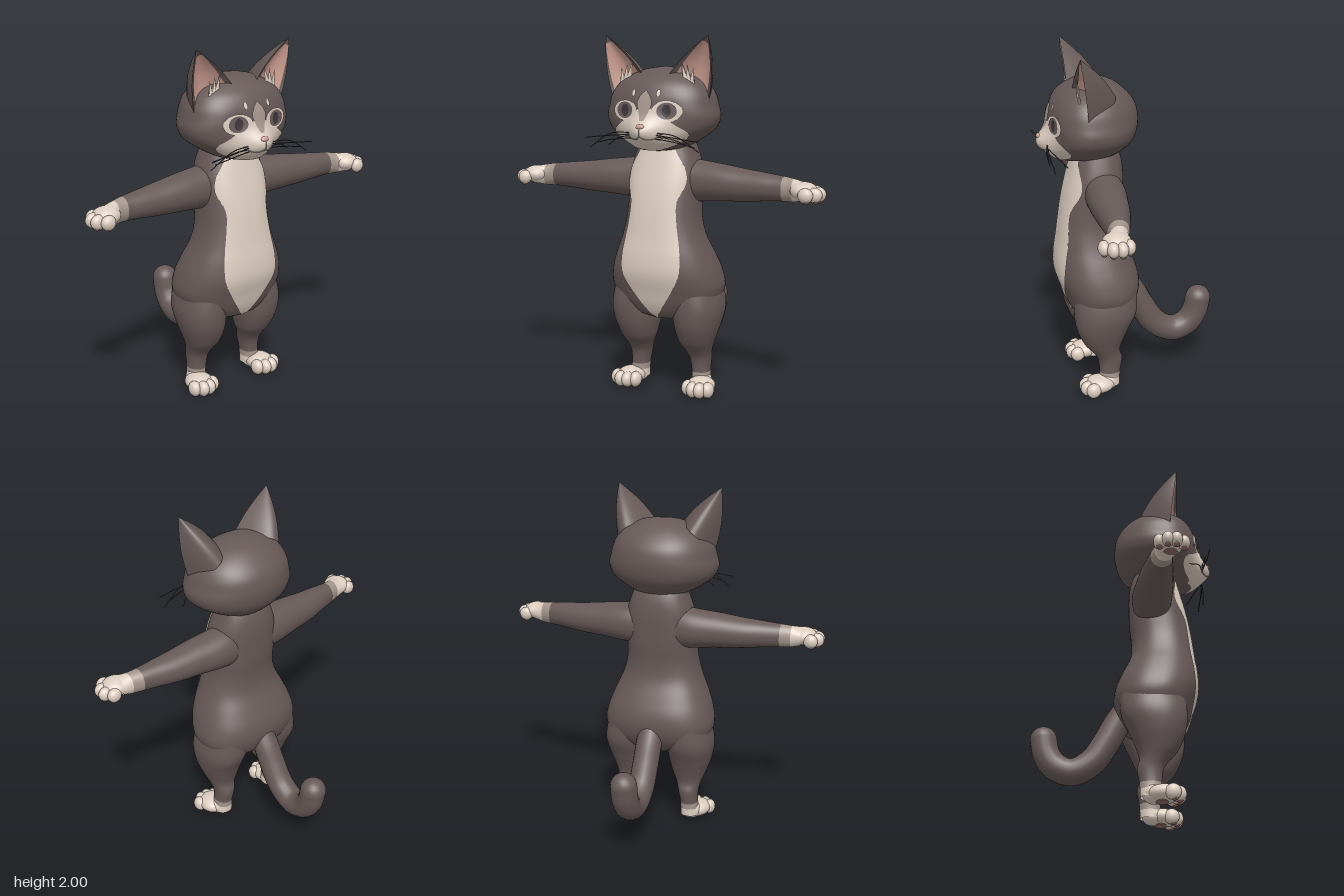
import * as THREE from 'three';
import { mergeVertices } from 'three/addons/utils/BufferGeometryUtils.js';

const paint = (name, color, side = THREE.FrontSide) =>
  Object.assign(new THREE.MeshStandardMaterial({ color, side }), { name });

// Surface from a rule fn(u, v) -> [x, y, z]
function grid(fn, nu, nv) {
  const pos = [], idx = [], w = nu + 1;
  for (let j = 0; j <= nv; j++) for (let i = 0; i <= nu; i++) pos.push(...fn(i / nu, j / nv));
  for (let j = 0; j < nv; j++) for (let i = 0; i < nu; i++) {
    const a = j * w + i;
    idx.push(a, a + 1, a + w + 1, a, a + w + 1, a + w);
  }
  let g = new THREE.BufferGeometry();
  g.setAttribute('position', new THREE.Float32BufferAttribute(pos, 3));
  g.setIndex(idx);
  g = mergeVertices(g, 1e-5);
  g.computeVertexNormals();
  return g;
}

// Smooth interpolation of a table sorted by its first column
function sample(rows, y) {
  let i = 0;
  while (i < rows.length - 2 && y > rows[i + 1][0]) i++;
  const a = rows[i], b = rows[i + 1], p = rows[i - 1] || a, q = rows[i + 2] || b;
  const h = b[0] - a[0], t = (y - a[0]) / h, t2 = t * t, t3 = t2 * t;
  return a.map((v, k) => {
    const m0 = (b[k] - p[k]) / (b[0] - p[0]), m1 = (q[k] - v) / (q[0] - a[0]);
    return (2 * t3 - 3 * t2 + 1) * v + (t3 - 2 * t2 + t) * h * m0
      + (3 * t2 - 2 * t3) * b[k] + (t3 - t2) * h * m1;
  });
}

// Body column; rows: [y, centre x, half width, back z, front z, widest z]
const noBump = () => 0;
function column({ rows, n = 2, bump = noBump }, y0 = rows[0][0], y1 = rows.at(-1)[0], rings = 44) {
  return grid((u, v) => {
    const [y, cx, hw, zb, zf, zc = (zb + zf) / 2] = sample(rows, y0 + (y1 - y0) * v);
    const a = (u * 2 - 1) * Math.PI, s = Math.sin(a), c = Math.cos(a), e = 2 / n;
    const x = cx + hw * Math.sign(s) * Math.abs(s) ** e;
    const z = zc + (c > 0 ? zf - zc : zb - zc) * Math.abs(c) ** e;
    return [x, y, z + (c > 0 ? bump(x, y) : 0)];
  }, 56, rings);
}

// Height of a column's front surface, lifted slightly
function front({ rows, n = 2, bump = noBump }, x, y, lift) {
  const [, cx, hw, zb, zf, zc = (zb + zf) / 2] = sample(rows, y);
  const s = Math.min(1, Math.abs(x - cx) / (hw + lift));
  return zc + (zf + lift - zc) * (1 - s ** n) ** (1 / n) + bump(x, y);
}

// Thin markings on a column: symmetric band from [y, half width] rows, and disc
const band = (col, rows, lift) => grid((u, v) => {
  const [y, w] = sample(rows, rows[0][0] + (rows.at(-1)[0] - rows[0][0]) * v);
  const x = Math.max(0, w) * (u * 2 - 1);
  return [x, y, front(col, x, y, lift)];
}, 28, 40);
const disc = (col, cx, cy, rx, ry, lift) => grid((u, v) => {
  const a = -2 * Math.PI * u, x = cx + rx * v * Math.cos(a), y = cy + ry * v * Math.sin(a);
  return [x, y, front(col, x, y, lift)];
}, 28, 8);

const ball = (x, y, z, rx, ry, rz) => new THREE.SphereGeometry(1, 20, 14).scale(rx, ry, rz).translate(x, y, z);
const tube = (pts, r, seg = 14, sides = 6) => new THREE.TubeGeometry(
  new THREE.CatmullRomCurve3(pts.map(p => new THREE.Vector3(...p))), seg, r, sides);

function flip(geo) {
  const g = geo.clone().scale(-1, 1, 1), ix = g.index.array;
  for (let i = 0; i < ix.length; i += 3) [ix[i], ix[i + 1]] = [ix[i + 1], ix[i]];
  return g;
}

export function createModel() {
  const root = new THREE.Group();
  root.name = 'cat';
  const coat = paint('coat', 0x675a58, THREE.DoubleSide), cream = paint('cream', 0xdccdc0, THREE.DoubleSide);
  const muted = paint('mutedFur', 0xa3958c, THREE.DoubleSide), pink = paint('pink', 0xd0a195, THREE.DoubleSide);
  const iris = paint('iris', 0x6a5d5f, THREE.DoubleSide), dark = paint('dark', 0x40373a, THREE.DoubleSide);
  const pad = paint('pad', 0x8c6a63);

  const add = (name, geo, mat) => {
    const m = new THREE.Mesh(geo, mat);
    m.name = name;
    root.add(m);
  };
  const pair = (name, geo, mat) => {
    add(name + 'Left', geo, mat);
    add(name + 'Right', flip(geo), mat);
  };

  // Torso and belly
  const torso = { n: 2.4, rows: [
    [0.41, 0, 0, 0.19, 0.19], [0.44, 0, 0.12, 0.1, 0.31], [0.5, 0, 0.26, 0.01, 0.36], [0.6, 0, 0.325, -0.04, 0.395],
    [0.7, 0, 0.315, -0.04, 0.425], [0.8, 0, 0.28, 0, 0.425], [0.9, 0, 0.237, 0.045, 0.412],
    [1, 0, 0.211, 0.055, 0.4], [1.1, 0, 0.205, 0.045, 0.385], [1.2, 0, 0.205, 0.04, 0.365],
    [1.3, 0, 0.195, 0.04, 0.34], [1.38, 0, 0.17, 0.05, 0.32], [1.46, 0, 0.14, 0.08, 0.3]] };
  add('torso', column(torso), coat);
  add('belly', band(torso, [[0.44, 0.005], [0.5, 0.05], [0.6, 0.12], [0.7, 0.175], [0.8, 0.18], [0.9, 0.165],
    [1, 0.148], [1.1, 0.142], [1.2, 0.178], [1.28, 0.168], [1.38, 0.11], [1.43, 0.1]], 0.007), cream);

  // Legs
  const leg = { n: 2.2, rows: [
    [0.04, 0.2, 0.055, 0.1, 0.22], [0.12, 0.195, 0.051, 0.095, 0.215], [0.2, 0.19, 0.06, 0.082, 0.225],
    [0.25, 0.187, 0.075, 0.095, 0.255], [0.3, 0.184, 0.097, 0.085, 0.3], [0.4, 0.19, 0.125, 0.045, 0.345],
    [0.5, 0.192, 0.138, 0, 0.358], [0.62, 0.17, 0.14, -0.01, 0.35]] };
  pair('leg', column(leg, 0.12, 0.62), coat);
  pair('ankleCuff', column(leg, 0.085, 0.12, 4), muted);
  pair('ankle', column(leg, 0.04, 0.085, 4), cream);

  // Feet with toes and pads
  pair('heel', ball(0.205, 0.06, 0.17, 0.06, 0.055, 0.062), cream);
  pair('foot', ball(0.225, 0.055, 0.225, 0.08, 0.05, 0.09), cream);
  [[0.168, 0.275], [0.208, 0.298], [0.252, 0.298], [0.29, 0.27]].forEach(([x, z], i) => {
    pair('toe' + i, ball(x, 0.047, z, 0.034, 0.044, 0.043), cream);
    pair('toePad' + i, ball(x, 0.012, z + 0.005, 0.018, 0.012, 0.02), pad);
  });
  pair('solePad', ball(0.225, 0.01, 0.215, 0.045, 0.01, 0.035), pad);

  // Arms, lofted upright and laid along x
  const arm = { n: 2.1, rows: [
    [0.08, -1.21, 0.13, 0.07, 0.28], [0.2, -1.207, 0.115, 0.06, 0.285], [0.35, -1.205, 0.1, 0.08, 0.29],
    [0.5, -1.2, 0.086, 0.105, 0.285], [0.6, -1.2, 0.076, 0.13, 0.282], [0.71, -1.198, 0.066, 0.16, 0.277],
    [0.77, -1.195, 0.061, 0.18, 0.285], [0.83, -1.195, 0.05, 0.185, 0.33]] };
  const lay = (a, b, r) => column(arm, a, b, r).rotateZ(-Math.PI / 2);
  pair('arm', lay(0.08, 0.71, 36), coat);
  pair('wristCuff', lay(0.71, 0.77, 4), muted);
  pair('wrist', lay(0.77, 0.83, 4), cream);

  // Hands with fingers and pads
  pair('palm', ball(0.835, 1.198, 0.258, 0.075, 0.05, 0.075), cream);
  [[0.882, 0.202], [0.91, 0.245], [0.905, 0.29], [0.868, 0.33]].forEach(([x, z], i) => {
    pair('finger' + i, ball(x, 1.184, z, 0.041, 0.04, 0.031), cream);
    pair('fingerPad' + i, ball(x + 0.005, 1.15, z, 0.02, 0.011, 0.016), pad);
  });
  pair('palmPad', ball(0.835, 1.152, 0.26, 0.035, 0.011, 0.035), pad);

  // Tail
  add('tail', tube([[0, 0.62, 0.04], [0, 0.53, -0.025], [0, 0.42, -0.085], [0, 0.305, -0.165], [0, 0.249, -0.275],
    [0, 0.28, -0.365], [0, 0.35, -0.415], [0, 0.435, -0.434]], 0.076, 48, 20), coat);
  add('tailTip', ball(0, 0.435, -0.434, 0.076, 0.076, 0.076), coat);

  // Head with a raised muzzle and shallow eye sockets
  const bump = (x, y) => 0.075 * Math.exp(-((x / 0.095) ** 2) - ((y - 1.485) / 0.075) ** 2)
    - 0.012 * Math.exp(-(((Math.abs(x) - 0.12) / 0.05) ** 2) - ((y - 1.6) / 0.05) ** 2);
  const head = { n: 2.15, bump, rows: [
    [1.37, 0, 0, 0.25, 0.25, 0.25], [1.385, 0, 0.1, 0.13, 0.385, 0.25], [1.41, 0, 0.165, 0.07, 0.42, 0.25],
    [1.45, 0, 0.235, 0.02, 0.435, 0.25], [1.5, 0, 0.298, -0.02, 0.442, 0.25], [1.56, 0, 0.322, -0.04, 0.448, 0.25],
    [1.62, 0, 0.31, -0.045, 0.452, 0.25], [1.69, 0, 0.288, -0.03, 0.435, 0.25], [1.75, 0, 0.243, 0.015, 0.4, 0.24],
    [1.8, 0, 0.16, 0.08, 0.335, 0.22], [1.822, 0, 0.09, 0.14, 0.28, 0.21], [1.832, 0, 0, 0.21, 0.21, 0.21]] };
  add('head', column(head, 1.37, 1.832, 64), coat);

  // Face markings
  add('faceMask', band(head, [[1.386, 0.06], [1.42, 0.155], [1.46, 0.215], [1.49, 0.22], [1.52, 0.18],
    [1.56, 0.12], [1.6, 0.05], [1.63, 0.03]], 0.006), cream);
  add('blaze', band(head, [[1.55, 0.012], [1.6, 0.032], [1.64, 0.045], [1.68, 0.03], [1.71, 0.003]], 0.009), muted);
  pair('eyePatch', disc(head, 0.125, 1.6, 0.083, 0.056, 0.007), cream);
  pair('eye', disc(head, 0.127, 1.602, 0.054, 0.044, 0.011), iris);
  pair('pupil', disc(head, 0.125, 1.602, 0.024, 0.033, 0.014), dark);
  pair('brow', disc(head, 0.075, 1.695, 0.012, 0.02, 0.008), cream);

  // Nose, mouth and whiskers
  add('nose', ball(0, 1.518, 0.505, 0.026, 0.015, 0.015), pink);
  const onFace = (x, y) => [x, y, front(head, x, y, 0.007)];
  add('lipCleft', tube([onFace(0, 1.505), onFace(0, 1.485), onFace(0, 1.465)], 0.003), muted);
  pair('mouth', tube([onFace(0, 1.465), onFace(0.03, 1.45), onFace(0.06, 1.452), onFace(0.085, 1.465)], 0.003), muted);
  [[0.33, 1.395, 0.47], [0.34, 1.45, 0.5], [0.26, 1.405, 0.39], [0.3, 1.42, 0.47]].forEach(([x, y, z], i) => {
    const sy = 1.485 - 0.01 * i;
    pair('whisker' + i, tube([[0.07, sy, 0.47], [x * 0.6, sy - 0.01, 0.47 + (z - 0.44) * 0.4], [x, y, z]], 0.0028, 10, 5), dark);
  });

  // Ears: outer shell, hollow and pink lining
  const A = [0.293, 1.64, 0.28], B = [0.085, 1.795, 0.33], tip = [0.312, 2, 0.325];
  const ear = (ctrl, s, t, puff) => A.map((a, k) => {
    const base = (1 - s) ** 2 * a + 2 * s * (1 - s) * ctrl[k] + s * s * B[k];
    const out = [0.5 - s, 0, -s * (1 - s) * 2][k] * puff * Math.sin(Math.PI * t);
    return base + (tip[k] - base) * t + out;
  });
  const back = [0.21, 1.82, -0.07], hollow = [0.2, 1.76, 0.17];
  pair('earShell', grid((u, v) => ear(back, u, v, 0.04), 20, 16), coat);
  pair('earHollow', grid((u, v) => ear(hollow, 1 - u, v, 0.04), 20, 16), coat);
  pair('earLining', grid((u, v) => {
    const [x, y, z] = ear(hollow, 0.9 - 0.82 * u, v * 0.86, 0.04);
    return [x, y, z + 0.008];
  }, 16, 14), pink);
  [[0.165, 1.8, 0.25], [0.19, 1.79, 0.1], [0.215, 1.775, -0.1]].forEach(([x, y, tilt], i) =>
    pair('earTuft' + i, new THREE.ConeGeometry(0.022, 0.11, 8).scale(1, 1, 0.4).rotateZ(tilt).translate(x, y, 0.315), cream));

  return root;
}
